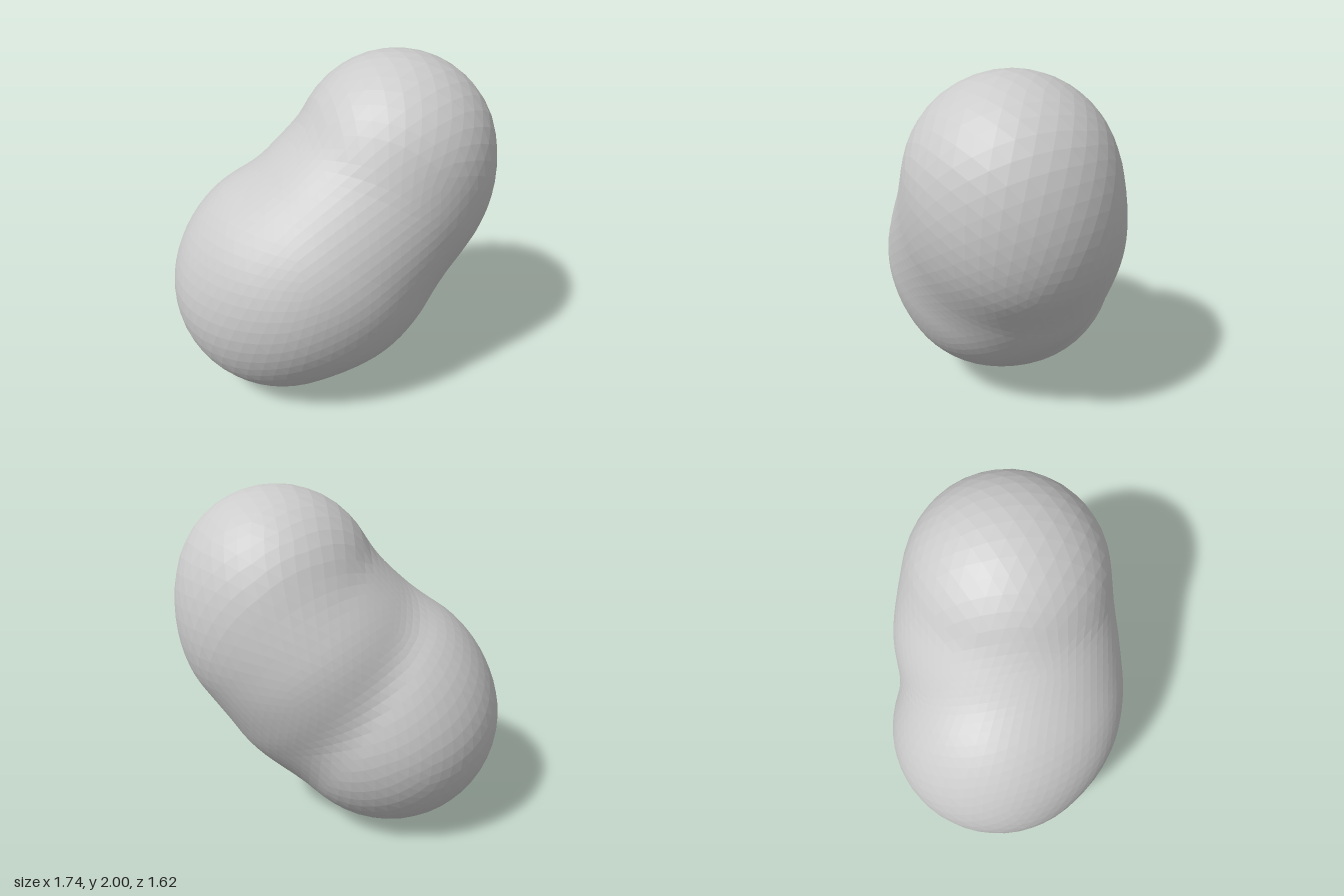
import * as THREE from 'three';

// Overlapping balls that melt into one body: centre x, y, z and radius
const BALLS = [
  [0.28, 1.435, 0.245, 0.565], // top of the upper lobe
  [0.305, 1.21, 0.22, 0.55],   // underside of the upper lobe
  [-0.22, 0.65, -0.16, 0.65],  // lower lobe
  [-0.20, 0.85, -0.12, 0.55],  // top of the lower lobe
  [-0.25, 0.78, 0.05, 0.545],  // front swelling of the lower lobe
  [-0.05, 0.72, 0.11, 0.53],   // front underside
  [0.13, 0.90, 0.09, 0.555],   // filled waist, outer side
  [0.0, 1.10, 0.06, 0.50],     // filled waist, notch side
  [-0.10, 0.95, 0.15, 0.53],   // filled waist, front
  [0.10, 1.15, 0.20, 0.54],    // upper waist, front
  [0.18, 1.10, 0.03, 0.53],    // upper waist, back
];
const BLEND = 0.12;

// Rounded union of two distances
function smoothMin(a, b) {
  const h = Math.max(BLEND - Math.abs(a - b), 0) / BLEND;
  return Math.min(a, b) - h * h * BLEND * 0.25;
}

// Signed distance to the blended balls
function distance(p) {
  return BALLS
    .map(([x, y, z, r]) => Math.hypot(p.x - x, p.y - y, p.z - z) - r)
    .reduce(smoothMin);
}

export function createModel() {
  const group = new THREE.Group();
  group.name = 'blob';

  // Push each point of a faceted sphere out to the blended surface
  const geometry = new THREE.IcosahedronGeometry(1, 13);
  const pos = geometry.attributes.position;
  const centre = new THREE.Vector3(0.02, 0.98, 0.03);
  const dir = new THREE.Vector3();
  const p = new THREE.Vector3();
  for (let i = 0; i < pos.count; i++) {
    dir.fromBufferAttribute(pos, i).normalize();
    let near = 0, far = 2.5;
    for (let n = 0; n < 26; n++) {
      const mid = (near + far) / 2;
      p.copy(centre).addScaledVector(dir, mid);
      if (distance(p) < 0) near = mid; else far = mid;
    }
    p.copy(centre).addScaledVector(dir, near);
    pos.setXYZ(i, p.x, p.y, p.z);
  }
  geometry.computeVertexNormals();

  const body = new THREE.Mesh(
    geometry,
    new THREE.MeshStandardMaterial({ color: 0xcccccc, flatShading: true })
  );
  body.name = 'body';
  group.add(body);
  return group;
}
